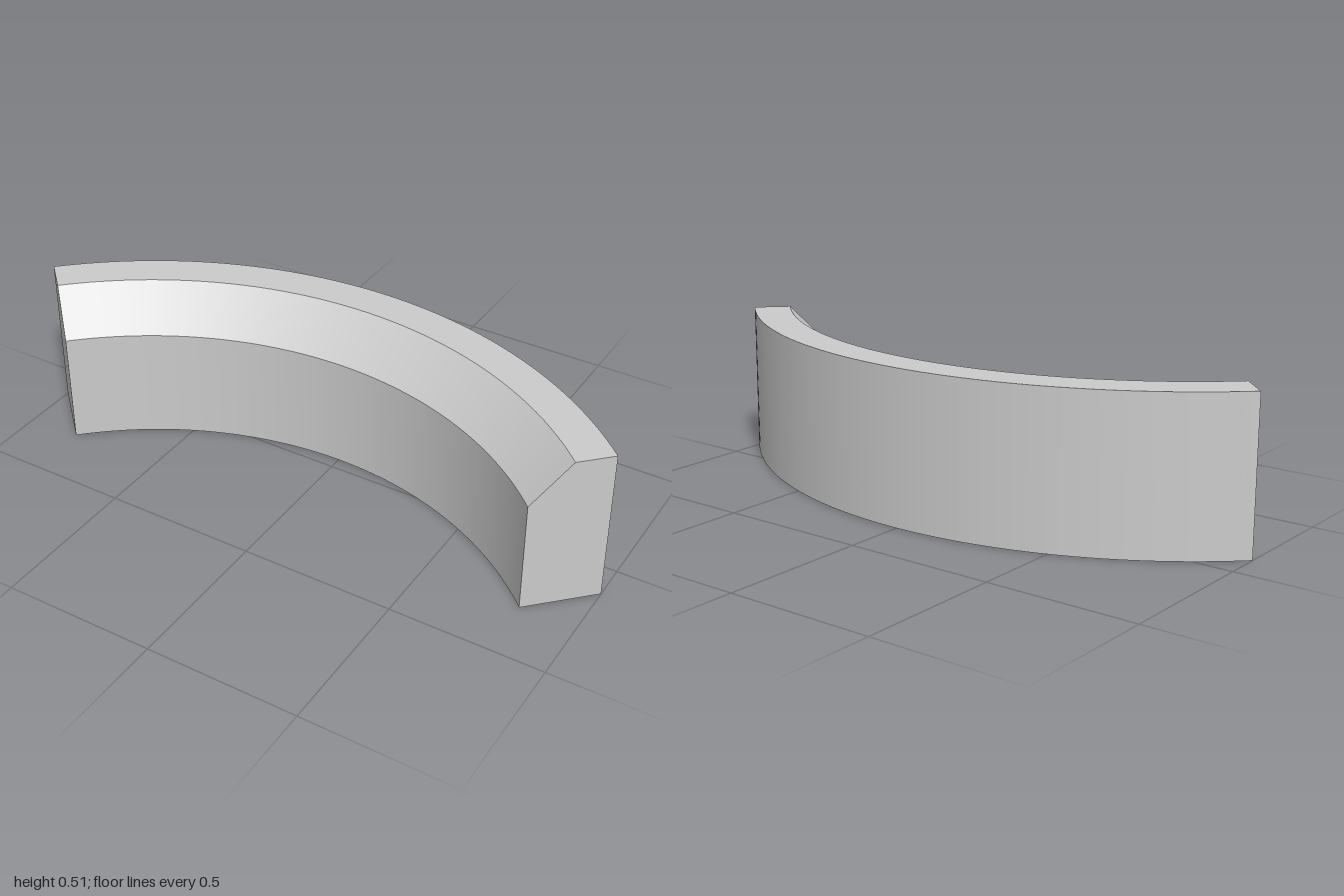
import * as THREE from 'three';

export function createModel() {
  const group = new THREE.Group();
  group.name = 'curvedBlock';
  const material = new THREE.MeshStandardMaterial({ color: 0xcccccc });
  const capMaterial = new THREE.MeshStandardMaterial({ color: 0xcccccc, side: THREE.DoubleSide });

  const centreZ = 1.117;
  const start = Math.PI * 0.75;
  const sweep = Math.PI / 2;

  // Cross-section (radius, height), counter-clockwise, with a chamfered inner top edge
  const profile = [
    [1.414, 0], [1.414, 0.506], [1.289, 0.506], [1.16, 0.373], [1.16, 0],
  ].map(([r, y]) => new THREE.Vector2(r, y));

  const add = (name, geometry, mat) => {
    const mesh = new THREE.Mesh(geometry, mat);
    mesh.name = name;
    mesh.position.z = centreZ;
    group.add(mesh);
    return mesh;
  };

  // One swept face per profile edge, so the edges between them stay sharp
  ['outerWall', 'topFace', 'chamfer', 'innerWall', 'bottomFace'].forEach((name, i) => {
    const edge = [profile[i], profile[(i + 1) % profile.length]];
    add(name, new THREE.LatheGeometry(edge, 64, start, sweep), material);
  });

  // Flat end faces
  const capShape = new THREE.Shape(profile);
  [['leftEnd', start], ['rightEnd', start + sweep]].forEach(([name, phi]) => {
    add(name, new THREE.ShapeGeometry(capShape), capMaterial).rotation.y = phi - Math.PI / 2;
  });

  return group;
}
